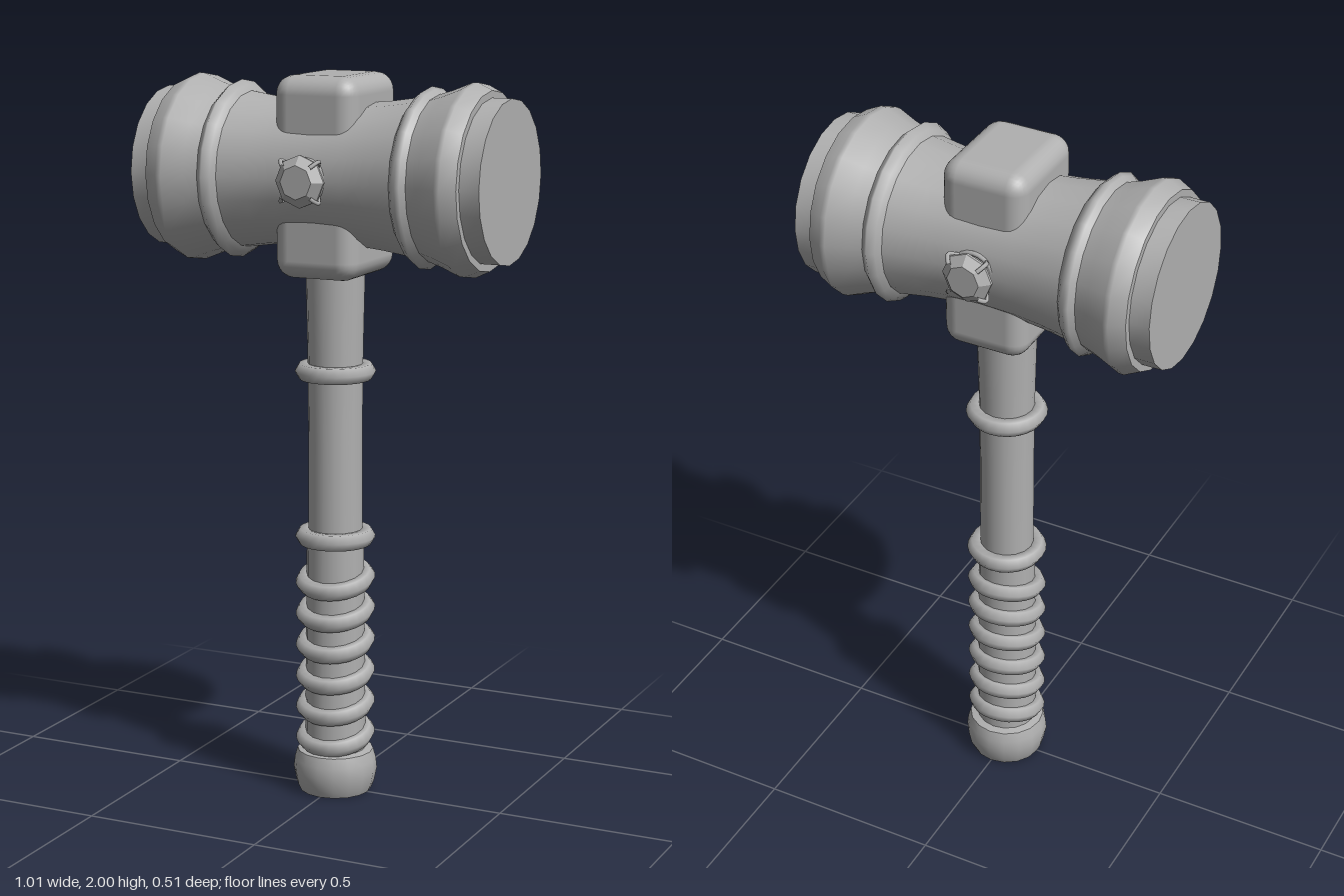
import * as THREE from 'three';
import { toCreasedNormals } from 'three/addons/utils/BufferGeometryUtils.js';
import { RoundedBoxGeometry } from 'three/addons/geometries/RoundedBoxGeometry.js';

const HEAD_Y = 1.7325;

export function createModel() {
  const model = new THREE.Group();
  model.name = 'warHammer';
  const stone = new THREE.MeshStandardMaterial({ color: 0xb0b0b0 });
  stone.name = 'grey';

  const add = (parent, name, geometry) => {
    const mesh = new THREE.Mesh(geometry, stone);
    mesh.name = name;
    parent.add(mesh);
    return mesh;
  };
  const lathe = (points, sides) =>
    new THREE.LatheGeometry(points.map(([r, y]) => new THREE.Vector2(r, y)), sides);
  const group = (parent, name) => {
    const g = new THREE.Group();
    g.name = name;
    parent.add(g);
    return g;
  };

  // Head: waisted barrel lying along x
  const head = group(model, 'head');
  head.position.y = HEAD_Y;
  const along = (points) => lathe(points, 20).rotateZ(-Math.PI / 2);
  add(head, 'barrel', along([
    [0.222, -0.3], [0.212, -0.25], [0.2, -0.17], [0.193, -0.1], [0.19, 0],
    [0.193, 0.1], [0.2, 0.17], [0.212, 0.25], [0.222, 0.3],
  ]));
  for (const turn of [0, Math.PI]) {
    const end = group(head, turn ? 'rightEnd' : 'leftEnd');
    end.rotation.y = turn;
    add(end, 'innerRing', along([[0.211, 0.25], [0.228, 0.262], [0.242, 0.28], [0.234, 0.29], [0.222, 0.303]]));
    add(end, 'flaredBand', along([[0.22, 0.298], [0.233, 0.34], [0.255, 0.395], [0.256, 0.41], [0.237, 0.45]]));
    add(end, 'strikingFace', toCreasedNormals(
      along([[0.237, 0.45], [0.218, 0.45], [0.218, 0.505], [0, 0.505]]), 0.6));
  }

  // Rounded block that passes through the head, showing above and below
  const block = add(model, 'socketBlock', new RoundedBoxGeometry(0.24, 0.54, 0.3, 3, 0.05));
  block.position.y = 1.73;

  // A faceted gem in a four-claw setting on the front and the back
  for (const turn of [0, Math.PI]) {
    const jewel = group(model, turn ? 'backJewel' : 'frontJewel');
    jewel.position.y = HEAD_Y;
    jewel.rotation.y = turn;
    const gem = lathe([[0, 0.18], [0.05, 0.197], [0.07, 0.212], [0.07, 0.219], [0.045, 0.242], [0, 0.242]], 8)
      .rotateX(Math.PI / 2);
    add(jewel, 'gem', toCreasedNormals(gem, 0.1));
    const ring = add(jewel, 'settingRing', new THREE.TorusGeometry(0.054, 0.007, 6, 20));
    ring.position.z = 0.184;
    const path = new THREE.CatmullRomCurve3([
      [0.054, 0.184], [0.066, 0.2], [0.077, 0.216], [0.068, 0.23], [0.056, 0.24],
    ].map(([r, z]) => new THREE.Vector3(r, 0, z)));
    for (let i = 0; i < 4; i++) {
      const claw = add(jewel, 'claw', new THREE.TubeGeometry(path, 8, 0.006, 6));
      claw.rotation.z = Math.PI / 4 + i * Math.PI / 2;
    }
  }

  // Handle with a slightly thicker grip
  const handle = group(model, 'handle');
  add(handle, 'shaft', lathe([[0.075, 0.7], [0.074, 1.0], [0.076, 1.25], [0.081, 1.48]], 16));
  add(handle, 'grip', lathe([[0.085, 0.1], [0.082, 0.4], [0.079, 0.735]], 16));

  // Level collars and tilted grip rings
  const collar = (name, y, tilt = 0) => {
    const ring = add(handle, name, new THREE.TorusGeometry(0.086, 0.025, 6, 24).rotateX(Math.PI / 2));
    ring.position.y = y;
    ring.rotation.x = tilt;
  };
  collar('upperCollar', 1.195);
  collar('lowerCollar', 0.732);
  for (let i = 0; i < 6; i++) collar('gripRing', 0.16 + i * 0.09, 0.23);

  // Pommel
  add(handle, 'pommel', toCreasedNormals(lathe([
    [0, 0], [0.1, 0], [0.109, 0.02], [0.117, 0.06], [0.114, 0.09], [0.106, 0.117], [0.08, 0.122],
  ], 16), 0.9));

  return model;
}
